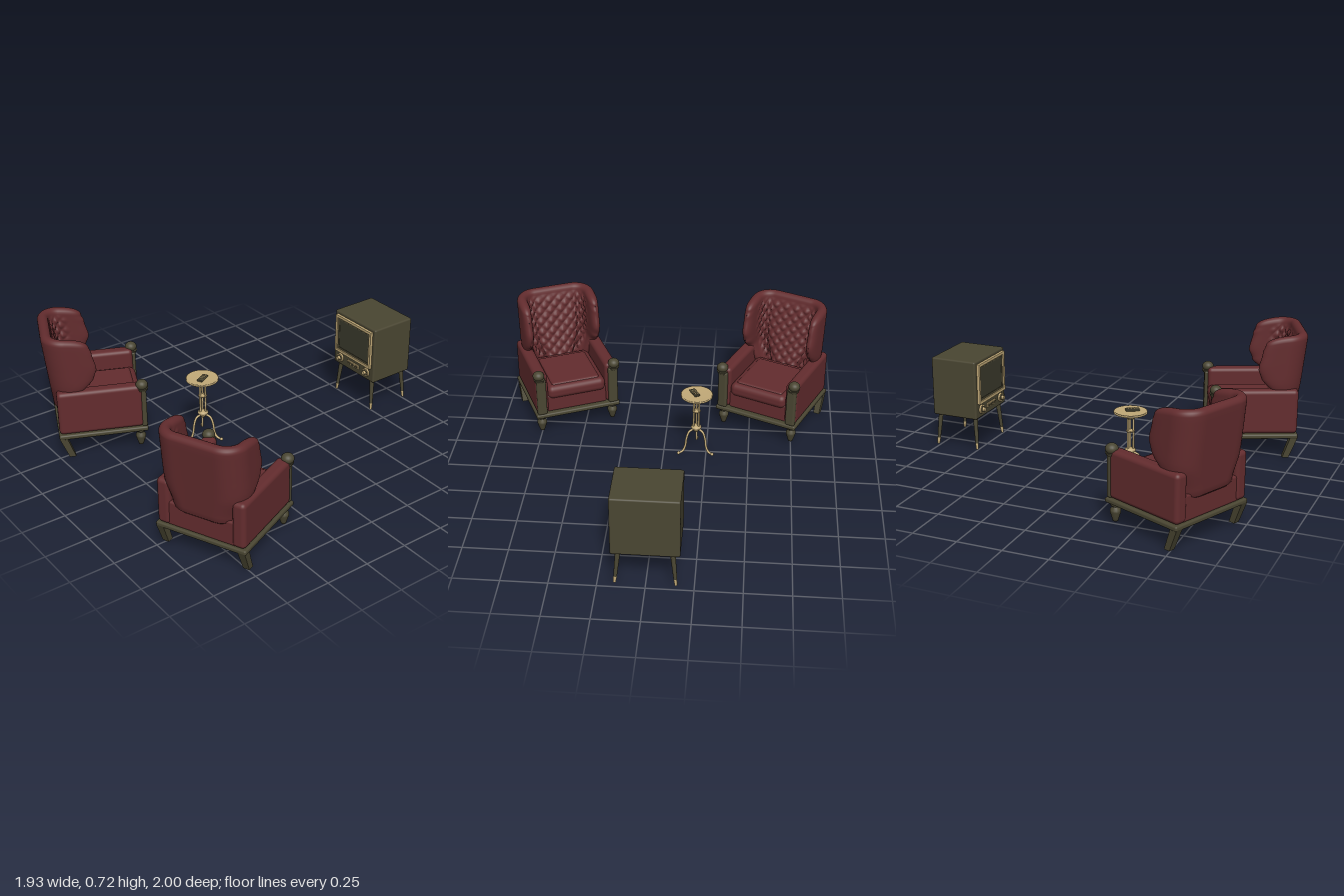
import * as THREE from 'three';
import { RoundedBoxGeometry } from 'three/addons/geometries/RoundedBoxGeometry.js';

const paint = (name, color) => {
  const m = new THREE.MeshStandardMaterial({ color });
  m.name = name;
  return m;
};
const red = paint('burgundy leather', 0x632c2e);
const wood = paint('dark olive wood', 0x4a4632);
const brass = paint('pale brass', 0xc2aa78);
const glass = paint('dark glass', 0x3c3b2d);

function add(parent, name, geometry, material, x = 0, y = 0, z = 0) {
  const mesh = new THREE.Mesh(geometry, material);
  mesh.name = name;
  mesh.position.set(x, y, z);
  parent.add(mesh);
  return mesh;
}
const group = (name) => Object.assign(new THREE.Group(), { name });
const rbox = (w, h, d, r, s = 4) => new RoundedBoxGeometry(w, h, d, s, r);
const lathe = (pts, n = 20) => new THREE.LatheGeometry(pts.map(p => new THREE.Vector2(...p)), n);
const { smoothstep, lerp } = THREE.MathUtils;

// straight tapered strut between two points
function strut(parent, name, a, b, ra, rb, material, sides = 14) {
  const A = new THREE.Vector3(...a), B = new THREE.Vector3(...b), d = B.clone().sub(A);
  const mesh = add(parent, name, new THREE.CylinderGeometry(rb, ra, d.length(), sides), material);
  mesh.position.copy(A).add(B).multiplyScalar(0.5);
  mesh.quaternion.setFromUnitVectors(new THREE.Vector3(0, 1, 0), d.normalize());
  return mesh;
}

// wrap-around backrest: a padded wall following a U in plan, buttoned on the inside
function backrestGeometry() {
  const N = 160, T = 0.03, bottom = 0.265, loop = [];
  for (let k = 0; k <= 56; k++) loop.push([k / 56, -1, 0]);
  for (let k = 1; k < 10; k++) loop.push([1, -Math.cos(k / 10 * Math.PI), Math.sin(k / 10 * Math.PI)]);
  for (let k = 14; k >= 0; k--) loop.push([k / 14, 1, 0]);
  loop.push([0, 0.6, -0.4], [0, -0.6, -0.4]);

  const wingFront = (h) => {
    const keys = [[0, -0.13], [0.33, -0.09], [0.5, -0.035], [0.65, -0.015], [0.9, -0.035], [1, -0.05]];
    let k = 0;
    while (k < keys.length - 2 && h > keys[k + 1][0]) k++;
    const [h0, z0] = keys[k], [h1, z1] = keys[k + 1];
    return lerp(z0, z1, smoothstep(h, h0, h1));
  };
  const pos = [], index = [], M = loop.length;
  for (let i = 0; i <= N; i++) {
    const u = Math.sin((i / N - 0.5) * Math.PI), au = Math.abs(u), sg = Math.sign(u);
    const thick = Math.sqrt(Math.max(0, 1 - au ** 14));
    const top = 0.69 - 0.035 * au ** 4;
    for (const [h, side, cap] of loop) {
      const a = 0.168 + 0.04 * smoothstep(h, 0, 0.4), zb = -0.226 - 0.045 * h, r = 0.09;
      const l1 = a - r, l2 = r * Math.PI / 2, l3 = wingFront(h) - zb - r;
      const d = au * (l1 + l2 + l3);
      let x, z, nx = 0, nz = -1;
      if (d < l1) { x = d; z = zb; }
      else if (d < l1 + l2) {
        const t = (d - l1) / r;
        nx = Math.sin(t); nz = -Math.cos(t);
        x = l1 + r * nx; z = zb + r + r * nz;
      } else { nx = 1; nz = 0; x = a; z = zb + r + d - l1 - l2; }
      let off = side * T;
      if (side === -1) {
        const p = d / 0.0325, q = h * 0.43 / 0.0325;
        const button = Math.abs(Math.sin((p + q) * Math.PI / 2) * Math.sin((p - q) * Math.PI / 2));
        const mask = (1 - smoothstep(au, 0.6, 0.8)) * smoothstep(1 - h, 0, 0.1);
        off -= 0.014 * button * mask + 0.06 * (1 - h) * (1 - smoothstep(au, 0.15, 0.6));
      }
      pos.push(sg * (x + nx * off * thick), lerp(bottom, top, h) + cap * T * thick, z + nz * off * thick);
    }
  }
  for (let i = 0; i < N; i++) for (let j = 0; j < M; j++) {
    const k = (j + 1) % M, a = i * M, b = a + M;
    index.push(a + j, b + j, b + k, a + j, b + k, a + k);
  }
  const g = new THREE.BufferGeometry();
  g.setAttribute('position', new THREE.Float32BufferAttribute(pos, 3));
  g.setIndex(index);
  g.computeVertexNormals();
  return g;
}

function armchair(name, x, z, turn) {
  const c = group(name);
  // wooden plinth
  add(c, 'baseFrame', rbox(0.52, 0.028, 0.5, 0.01, 3), wood, 0, 0.13, 0);
  // upholstery
  add(c, 'seatBox', rbox(0.37, 0.11, 0.44, 0.012), red, 0, 0.195, 0.0);
  add(c, 'backPanel', rbox(0.4, 0.14, 0.05, 0.012), red, 0, 0.212, -0.212);
  add(c, 'seatCushion', rbox(0.358, 0.085, 0.4, 0.034), red, 0, 0.268, 0.035);
  add(c, 'cushionCrown', rbox(0.3, 0.04, 0.33, 0.019), red, 0, 0.299, 0.04);
  add(c, 'backrest', backrestGeometry(), red);
  for (const s of [-1, 1]) {
    add(c, 'arm', rbox(0.075, 0.262, 0.475, 0.024), red, s * 0.2145, 0.274, -0.008);
    // front post with rounded finial
    add(c, 'armPost', rbox(0.058, 0.24, 0.032, 0.012), wood, s * 0.222, 0.262, 0.232);
    add(c, 'postCollar', new THREE.CylinderGeometry(0.034, 0.028, 0.016, 20), wood, s * 0.23, 0.378, 0.228);
    const knob = add(c, 'postFinial', new THREE.SphereGeometry(0.034, 20, 14), wood, s * 0.232, 0.405, 0.226);
    knob.scale.set(1, 0.85, 1);
    // turned front leg
    add(c, 'frontLeg', lathe([[0, 0.018], [0.014, 0.018], [0.017, 0.03], [0.029, 0.068], [0.029, 0.08],
      [0.018, 0.094], [0.018, 0.099], [0.026, 0.104], [0.026, 0.12]]), wood, s * 0.222, 0, 0.208);
    // raked square back leg
    const leg = new THREE.BoxGeometry(0.042, 0.122, 0.042), p = leg.attributes.position;
    for (let i = 0; i < p.count; i++) if (p.getY(i) < 0) p.setXYZ(i, p.getX(i) * 0.85, p.getY(i), p.getZ(i) * 0.85 + 0.045);
    leg.computeVertexNormals();
    add(c, 'backLeg', leg, wood, s * 0.235, 0.061, -0.228);
  }
  c.position.set(x, 0, z);
  c.rotation.y = turn;
  return c;
}

function frame(w, h, t, depth) {
  const rect = (P, a, b) => {
    const p = new P();
    p.moveTo(-a, -b); p.lineTo(a, -b); p.lineTo(a, b); p.lineTo(-a, b); p.closePath();
    return p;
  };
  const s = rect(THREE.Shape, w / 2, h / 2);
  s.holes.push(rect(THREE.Path, w / 2 - t, h / 2 - t));
  return new THREE.ExtrudeGeometry(s, { depth, bevelEnabled: false });
}

function television() {
  const t = group('television');
  add(t, 'cabinet', rbox(0.356, 0.345, 0.282, 0.01), wood, 0, 0.3825, -0.859);
  // screen and its surround
  add(t, 'screenFrame', frame(0.312, 0.238, 0.016, 0.018), brass, 0, 0.418, -0.72);
  add(t, 'screenMask', frame(0.28, 0.206, 0.012, 0.01), wood, 0, 0.418, -0.72);
  add(t, 'screen', rbox(0.258, 0.184, 0.012, 0.005), glass, 0, 0.418, -0.716);
  // control strip
  add(t, 'controlPlate', rbox(0.104, 0.026, 0.01, 0.004), brass, 0, 0.26, -0.716);
  for (let i = -1; i <= 1; i++) add(t, 'button', rbox(0.022, 0.01, 0.008, 0.002), wood, i * 0.03, 0.26, -0.711);
  for (const s of [-1, 1]) {
    const dial = group('dial');
    dial.position.set(s * 0.116, 0.26, -0.72);
    dial.rotation.x = Math.PI / 2;
    add(dial, 'dialRing', new THREE.CylinderGeometry(0.026, 0.027, 0.014, 24), brass, 0, 0.006, 0);
    add(dial, 'dialFace', new THREE.CylinderGeometry(0.019, 0.019, 0.004, 24), wood, 0, 0.013, 0);
    add(dial, 'dialKnob', new THREE.CylinderGeometry(0.011, 0.013, 0.02, 16), brass, 0, 0.02, 0);
    add(dial, 'dialGrip', new THREE.BoxGeometry(0.034, 0.012, 0.006), brass, 0, 0.014, 0);
    t.add(dial);
    // splayed legs with metal tips
    for (const f of [-1, 1]) {
      const at = (y) => {
        const k = (0.215 - y) / 0.193;
        return [s * (0.139 + 0.018 * k), y, -0.859 + f * (0.113 + 0.016 * k)];
      };
      strut(t, 'leg', at(0.215), at(0.06), 0.014, 0.0095, wood);
      strut(t, 'legTip', at(0.06), at(0.022), 0.0098, 0.007, brass);
    }
  }
  return t;
}

function sideTable() {
  const t = group('sideTable');
  t.position.set(-0.19, 0, 0.24);
  add(t, 'tableTop', lathe([[0, 0.391], [0.084, 0.391], [0.092, 0.395], [0.092, 0.404], [0.087, 0.406],
    [0.084, 0.403], [0, 0.403]], 40), brass);
  add(t, 'topCollar', lathe([[0, 0.362], [0.022, 0.362], [0.029, 0.37], [0.026, 0.38], [0.034, 0.392]], 24), brass);
  add(t, 'midCollar', lathe([[0, 0.286], [0.022, 0.286], [0.025, 0.291], [0.022, 0.296], [0, 0.296]], 24), brass);
  add(t, 'hub', lathe([[0, 0.145], [0.01, 0.15], [0.02, 0.165], [0.031, 0.177], [0.028, 0.187], [0.02, 0.192], [0, 0.192]], 24), brass);
  for (let i = 0; i < 3; i++) {
    const arm = group('tripodArm');
    arm.rotation.y = i * Math.PI * 2 / 3;
    add(arm, 'rod', new THREE.CylinderGeometry(0.006, 0.006, 0.18, 10), brass, 0, 0.276, 0.017);
    const path = new THREE.CatmullRomCurve3([[0.012, 0.17], [0.045, 0.158], [0.063, 0.115], [0.07, 0.068], [0.086, 0.036], [0.112, 0.026]]
      .map(([r, y]) => new THREE.Vector3(0, y, r)));
    add(arm, 'curvedLeg', new THREE.TubeGeometry(path, 28, 0.0068, 10), brass);
    add(arm, 'foot', new THREE.SphereGeometry(0.0095, 14, 10), brass, 0, 0.028, 0.114);
    t.add(arm);
  }
  // handset lying on top
  const remote = group('remoteControl');
  remote.position.set(0.012, 0.409, 0.006);
  remote.rotation.y = 0.5;
  add(remote, 'remoteBody', rbox(0.034, 0.012, 0.076, 0.004, 3), wood);
  for (let r = 0; r < 3; r++) for (const s of [-1, 1])
    add(remote, 'remoteButton', new THREE.BoxGeometry(0.008, 0.003, 0.007), brass, s * 0.007, 0.007, -0.022 + r * 0.016);
  t.add(remote);
  return t;
}

export function createModel() {
  const model = group('livingRoomSet');
  const turn = THREE.MathUtils.degToRad(156);
  model.add(armchair('rightArmchair', -0.63, 0.665, turn), armchair('leftArmchair', 0.63, 0.665, -turn));
  model.add(television(), sideTable());
  return model;
}
